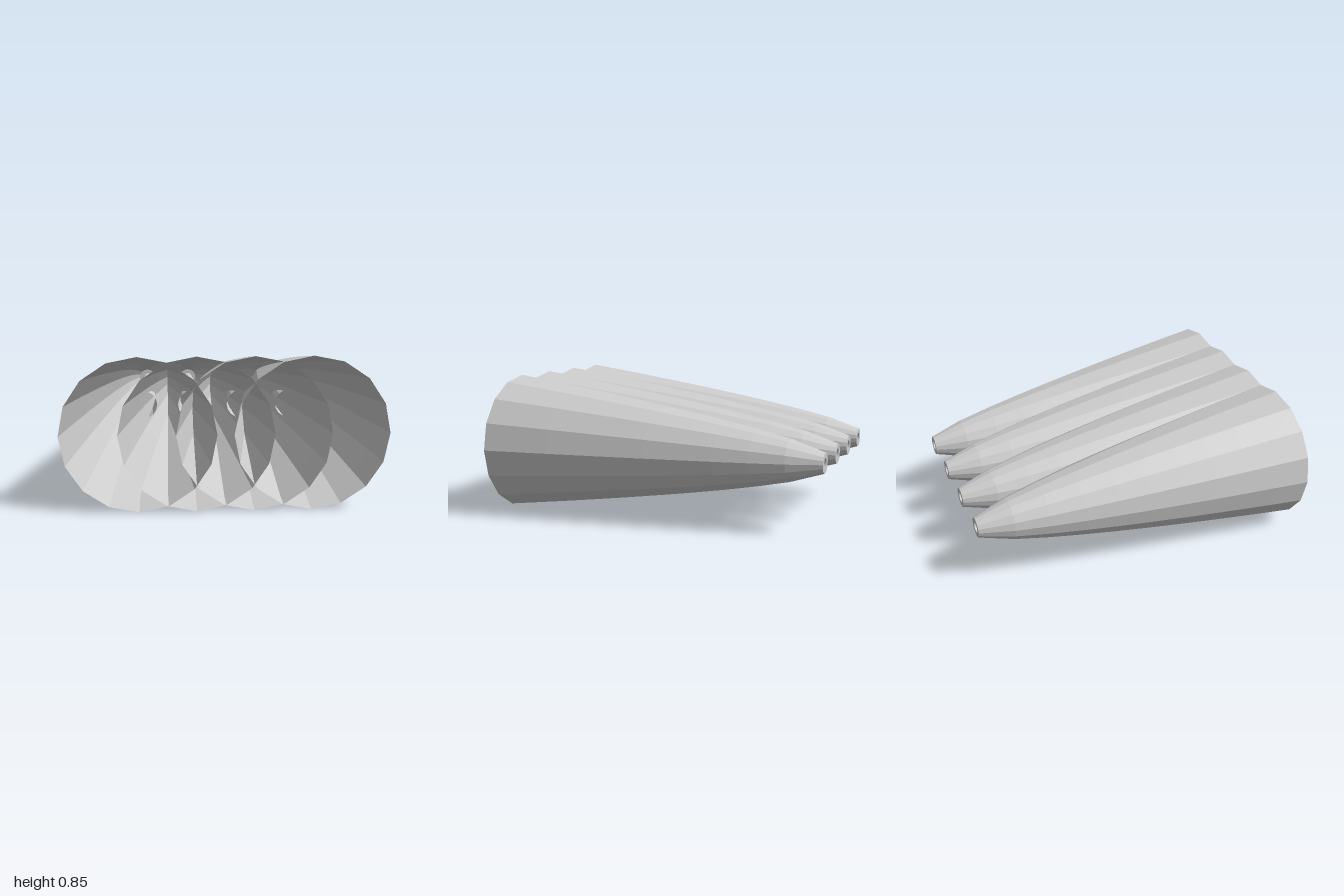
import * as THREE from 'three';

const SIDES = 16;
const RINGS = 10;
const MOUTH = 0.425; // radius at the open front
const TIP = 0.06;    // radius at the back tip
const HOLE = 0.03;   // radius of the bore at the tip
const SPACING = 0.314;

export function createModel() {
  const model = new THREE.Group();
  model.name = 'taperedTubes';
  const grey = new THREE.MeshStandardMaterial({ color: 0xcccccc, flatShading: true, side: THREE.DoubleSide });
  grey.name = 'plain grey';

  // Revolve [radius, z] points around the z axis
  const revolve = (points) => {
    const geometry = new THREE.LatheGeometry(points.map(([r, z]) => new THREE.Vector2(r, z)), SIDES);
    return geometry.rotateX(Math.PI / 2);
  };

  // Outer shell: swells quickly from the tip, then widens evenly to the mouth
  const shellProfile = [];
  for (let i = 0; i <= RINGS; i++) {
    const t = i / RINGS;
    shellProfile.push([TIP + (MOUTH - TIP) * Math.pow(t, 0.75), -1 + 2 * t]);
  }
  const parts = {
    shell: revolve(shellProfile),
    tipRim: revolve([[TIP, -1], [HOLE, -1]]),
    innerBore: revolve([[HOLE, -1], [0.09, 0.13]]),
  };

  // Four overlapping tubes side by side
  for (let i = 0; i < 4; i++) {
    const tube = new THREE.Group();
    tube.name = 'tube' + (i + 1);
    for (const [name, geometry] of Object.entries(parts)) {
      const mesh = new THREE.Mesh(geometry, grey);
      mesh.name = name;
      tube.add(mesh);
    }
    tube.position.set((i - 1.5) * SPACING, MOUTH, 0);
    model.add(tube);
  }
  return model;
}
